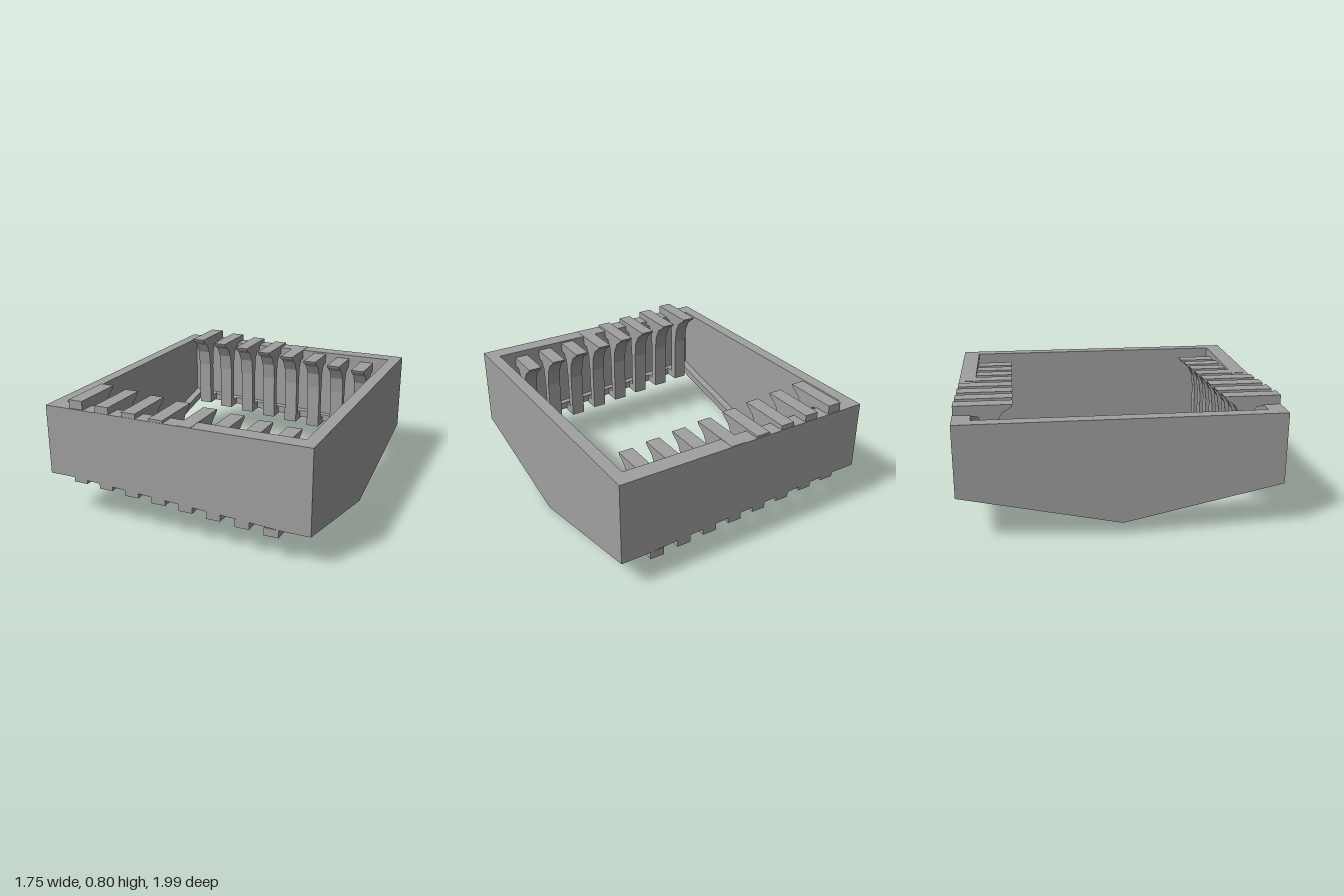
import * as THREE from 'three';

const grey = new THREE.MeshStandardMaterial({ color: 0xa0a0a0 });
grey.name = 'grey';

const TOP = 0.74;
const SPLIT = 0.72; // where the underside starts to slope across x

// Underside height: a V along z, dropping from one side wall to the other
function underside(x, z) {
  const across = THREE.MathUtils.clamp(x / SPLIT, -1, 1);
  return 0.04 - 0.04 * across + 0.212 * Math.abs(z);
}

// Rectangular ring with half sizes a, b and a height rule
function ring(a, b, height) {
  const s = SPLIT;
  return [
    [a, -b], [a, 0], [a, b], [s, b], [-s, b],
    [-a, b], [-a, 0], [-a, -b], [-s, -b], [s, -b],
  ].map(([x, z]) => [x, height(x, z)]. concat(z));
}

// Frame: rings joined from the outer bottom over the top and round inside
function frameGeometry() {
  const top = () => TOP;
  const ledge = (x, z) => underside(x, z) + 0.05;
  const rings = [
    ring(0.867, 0.988, underside),
    ring(0.867, 0.988, top),
    ring(0.788, 0.88, top),
    ring(0.788, 0.88, ledge),
    ring(0.735, 0.85, ledge),
    ring(0.735, 0.85, underside),
  ];
  const positions = [];
  rings.forEach((lower, r) => {
    const upper = rings[(r + 1) % rings.length];
    lower.forEach((p, i) => {
      const j = (i + 1) % lower.length;
      const [a, b, c, d] = [p, lower[j], upper[j], upper[i]];
      positions.push(...a, ...c, ...b, ...a, ...d, ...c);
    });
  });
  const geometry = new THREE.BufferGeometry();
  geometry.setAttribute('position', new THREE.Float32BufferAttribute(positions, 3));
  geometry.computeVertexNormals();
  return geometry;
}

// Contact: foot, upright blade and hooked top arm, as a (z, y) profile
function contactGeometry() {
  const profile = [
    [0.985, 0], [0.985, 0.05], [0.8, 0.05], [0.8, 0.3], [0.81, 0.42],
    [0.84, 0.47], [0.985, 0.485], [0.985, 0.54], [0.635, 0.54],
    [0.642, 0.525], [0.7, 0.485], [0.735, 0.42], [0.75, 0.31], [0.75, 0],
  ].map(([z, y]) => new THREE.Vector2(z, y));
  const geometry = new THREE.ExtrudeGeometry(new THREE.Shape(profile), {
    depth: 0.092, bevelEnabled: false,
  });
  return geometry.translate(0, 0, -0.046).rotateY(-Math.PI / 2);
}

export function createModel() {
  const model = new THREE.Group();
  model.name = 'contactFrame';

  const frame = new THREE.Mesh(frameGeometry(), grey);
  frame.name = 'frame';
  model.add(frame);

  // Two facing rows of contacts, stepping down towards +x
  const contact = contactGeometry();
  for (const side of ['front', 'back']) {
    const row = new THREE.Group();
    row.name = side + 'Contacts';
    for (let i = 0; i < 8; i++) {
      const pin = new THREE.Mesh(contact, grey);
      pin.name = side + 'Contact';
      pin.position.set(0.1825 * (i - 3.5) - 0.01, 0.258 - 0.014 * i, 0);
      if (side === 'back') pin.rotation.y = Math.PI;
      row.add(pin);
    }
    model.add(row);
  }

  // The whole piece sits very slightly turned
  model.rotation.y = 0.007;
  return model;
}
